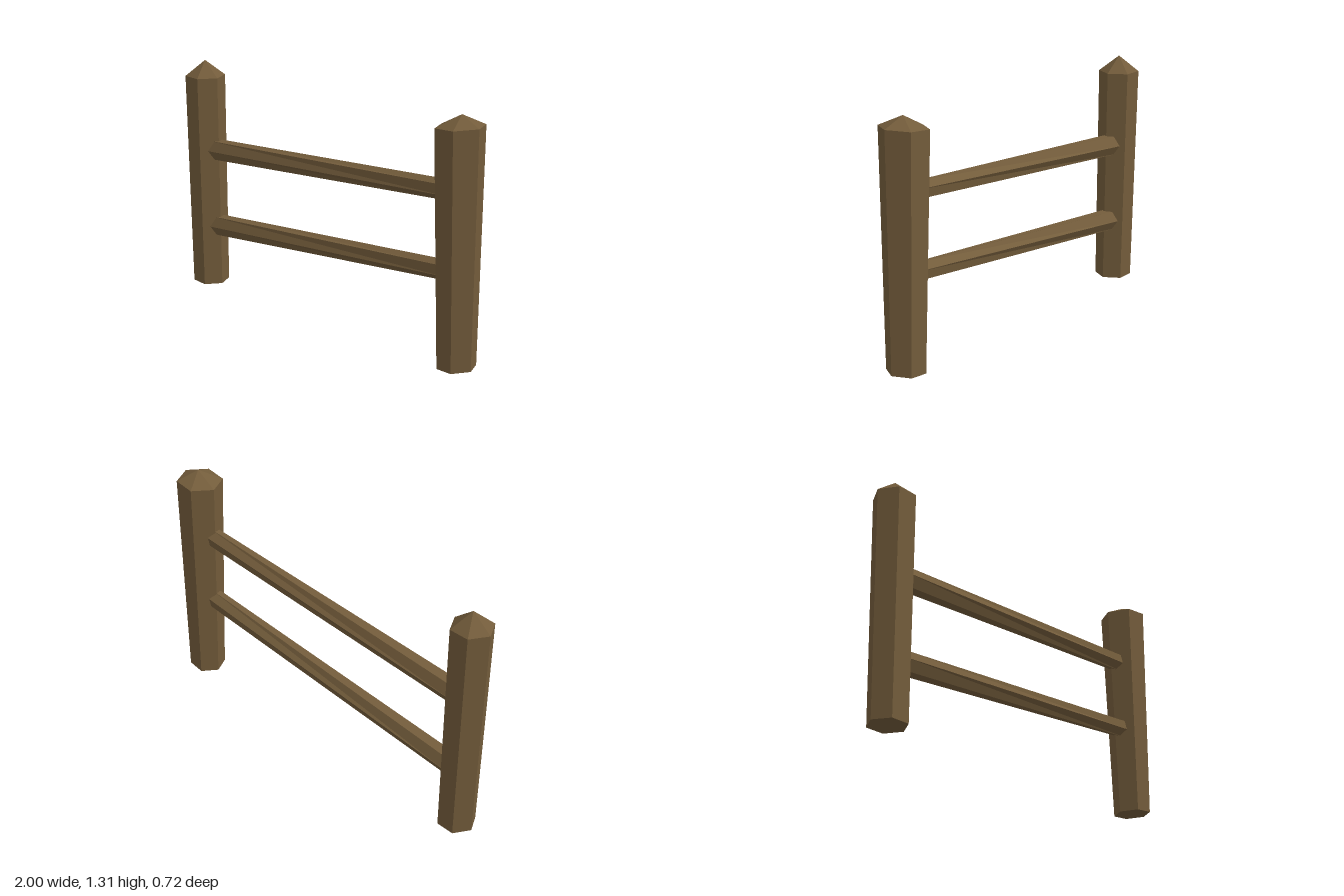
import * as THREE from 'three';

const SIDES = 6;
const V = (x, y, z) => new THREE.Vector3(x, y, z);

// Hexagon around a centre, turning from axis u towards axis v
function ring(centre, radius, u, v, start) {
  return Array.from({ length: SIDES }, (_, i) => {
    const a = start + (i / SIDES) * Math.PI * 2;
    return centre.clone()
      .addScaledVector(u, radius * Math.cos(a))
      .addScaledVector(v, radius * Math.sin(a));
  });
}

// Flat-sided skin from ring a to ring b, closed by a fan to a tip at each end
function loft(a, b, startTip, endTip) {
  const points = [];
  for (let i = 0; i < SIDES; i++) {
    const j = (i + 1) % SIDES;
    points.push(a[i], a[j], b[j], a[i], b[j], b[i]);
    points.push(startTip, a[j], a[i], endTip, b[i], b[j]);
  }
  const geometry = new THREE.BufferGeometry().setFromPoints(points);
  geometry.computeVertexNormals();
  return geometry;
}

// Tapered hexagonal post with a pointed top; slopeX and slopeZ tilt its cut ends
function post(base, baseRadius, top, topRadius, tip, turn, slopeX, slopeZ) {
  const u = V(0, slopeZ, 1);
  const v = V(1, slopeX, 0);
  return loft(ring(base, baseRadius, u, v, turn), ring(top, topRadius, u, v, turn), base, tip);
}

// Hexagonal rail, slightly twisted and tapered from one post to the other
function rail(from, to) {
  const along = to.clone().sub(from).normalize();
  const front = V(along.x, 0, along.z).normalize().cross(V(0, 1, 0));
  const up = front.clone().cross(along);
  const deg = Math.PI / 180;
  return loft(
    ring(from, 0.06, up, front, 29 * deg),
    ring(to, 0.05, up, front, 50 * deg),
    from, to);
}

export function createModel() {
  const group = new THREE.Group();
  group.name = 'fence';
  const wood = new THREE.MeshStandardMaterial({ color: 0x735c3b, flatShading: true });
  wood.name = 'brown wood';

  const add = (name, geometry) => {
    const mesh = new THREE.Mesh(geometry, wood);
    mesh.name = name;
    group.add(mesh);
  };

  // Posts
  add('rightPost', post(V(-0.884, 0.002, -0.248), 0.1, V(-0.898, 1.19, -0.255), 0.109,
    V(-0.897, 1.275, -0.255), 0.21, 0, 0));
  add('leftPost', post(V(0.908, 0.063, 0.248), 0.098, V(0.885, 1.252, 0.238), 0.122,
    V(0.892, 1.31, 0.238), 0.17, 0.08, 0.03));

  // Rails
  add('upperRail', rail(V(-0.87, 0.778, -0.25), V(0.87, 0.94, 0.24)));
  add('lowerRail', rail(V(-0.87, 0.338, -0.25), V(0.87, 0.543, 0.24)));

  return group;
}
